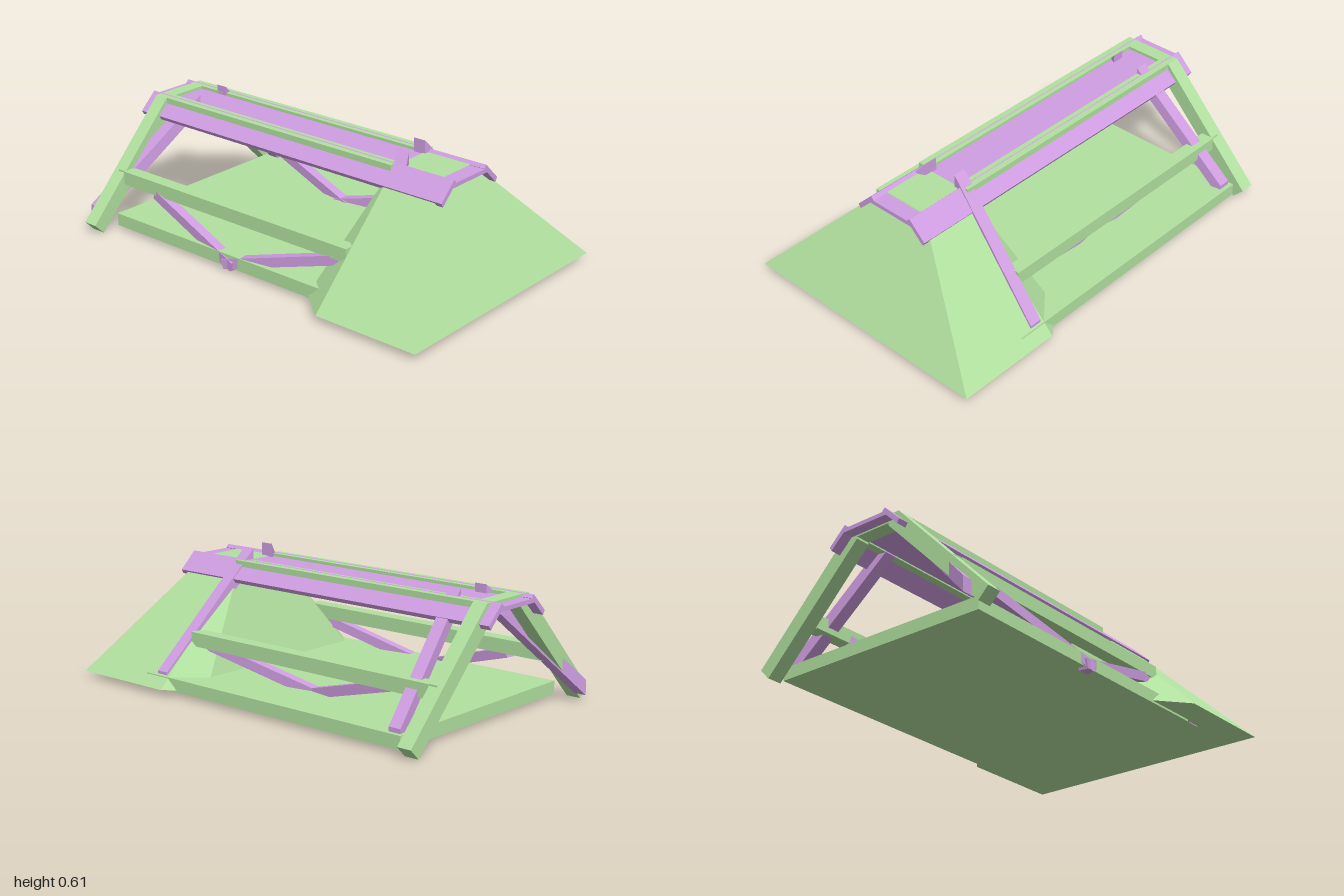
import * as THREE from 'three';
import { ConvexGeometry } from 'three/addons/geometries/ConvexGeometry.js';

export function createModel() {
  const model = new THREE.Group();
  const green = new THREE.MeshStandardMaterial({ color: 0xb2e1a0, flatShading: true });
  const purple = new THREE.MeshStandardMaterial({ color: 0xd09ee2, flatShading: true });

  const add = (name, geometry, material) => {
    const mesh = new THREE.Mesh(geometry, material);
    mesh.name = name;
    model.add(mesh);
    return mesh;
  };
  // Flat-faced solid spanning a handful of corners
  const solid = (name, material, corners) =>
    add(name, new ConvexGeometry(corners.map(c => new THREE.Vector3(...c))), material);
  // Box given by its lower and upper limits on each axis
  const box = (name, material, [x0, x1], [y0, y1], [z0, z1]) =>
    add(name, new THREE.BoxGeometry(x1 - x0, y1 - y0, z1 - z0), material)
      .position.set((x0 + x1) / 2, (y0 + y1) / 2, (z0 + z1) / 2);
  // (z, y) section swept along x
  const sweep = (name, material, x0, x1, section) =>
    solid(name, material, [x0, x1].flatMap(x => section.map(([z, y]) => [x, y, z])));
  // Leaning beam with upright end cuts; ends are [x, topY, z]
  const post = (name, a, b, width = 0.06, depth = 0.07) =>
    solid(name, purple, [a, b].flatMap(([x, y, z]) => [
      [x - width / 2, y, z], [x + width / 2, y, z],
      [x - width / 2, y - depth, z], [x + width / 2, y - depth, z]]));
  // Square brace running between two points
  const brace = (name, a, b, size = 0.045) => {
    const from = new THREE.Vector3(...a), to = new THREE.Vector3(...b);
    const mesh = add(name, new THREE.BoxGeometry(size, size, from.distanceTo(to)), purple);
    mesh.position.copy(from).lerp(to, 0.5);
    mesh.lookAt(to);
  };

  // Tapered end block with a sloping inner wall and chamfered corners
  solid('endBlock', green, [1, -1].flatMap(s => [
    [1, 0.03, 0.635 * s], [0.48, 0.03, 0.635 * s], [0.32, 0.03, 0.5 * s],
    [0.48, 0.545, 0.12 * s], [0.71, 0.545, 0.12 * s]]));

  // Floor slab and top plank
  box('floor', green, [-0.86, 0.62], [0.02, 0.08], [-0.59, 0.51]);
  box('topPlank', purple, [-1, 0.79], [0.522, 0.541], [-0.12, 0.12]);

  // Cross piece joining the two end legs
  box('legCap', green, [-0.95, -0.88], [0.515, 0.555], [-0.147, 0.147]);

  for (const s of [1, -1]) {
    const side = s > 0 ? 'front' : 'back';
    // Sloping board along the edge of the top
    sweep(side + 'TopSkirt', purple, -1, 0.79,
      [[0.2 * s, 0.477], [0.115 * s, 0.558], [0.1 * s, 0.543], [0.188 * s, 0.458]]);
    // Splayed end leg
    sweep(side + 'EndLeg', green, -0.95, -0.88,
      [[0.635 * s, 0.05], [0.585 * s, 0], [0.09 * s, 0.505], [0.09 * s, 0.555], [0.147 * s, 0.555]]);
    // Rails with thin tips passing the leg
    const rails = [['TopRail', 0.515, 0.555, 0.09, 0.147], ['MiddleRail', 0.2, 0.265, 0.375, 0.44]];
    for (const [part, y0, y1, z0, z1] of rails) {
      const span = (a, b) => [Math.min(a * s, b * s), Math.max(a * s, b * s)];
      box(side + part, green, [-0.88, 0.48], [y0, y1], span(z0, z1));
      box(side + part + 'Tip', green, [-0.92, -0.88], [y1 - 0.018, y1], span(z0 + 0.005, z1 - 0.005));
    }
  }

  // Leaning posts, one at each corner
  post('frontLeftPost', [0.68, 0.095, 0.5], [0.485, 0.605, 0.068], 0.065);
  post('backLeftPost', [0.525, 0.098, -0.58], [0.46, 0.605, -0.08]);
  post('frontRightPost', [-0.97, 0.1, 0.55], [-0.765, 0.58, 0.065]);
  post('backRightPost', [-0.815, 0.1, -0.57], [-0.745, 0.585, -0.09]);

  // Shallow V braces under the middle rails
  brace('frontRightBrace', [-0.68, 0.2, 0.415], [-0.11, 0.03, 0.5]);
  brace('frontLeftBrace', [0.44, 0.2, 0.41], [-0.17, 0.03, 0.5]);
  brace('backRightBrace', [-0.68, 0.215, -0.395], [-0.13, 0.06, -0.305]);
  brace('backLeftBrace', [0.44, 0.215, -0.395], [-0.2, 0.06, -0.305]);

  return model;
}
